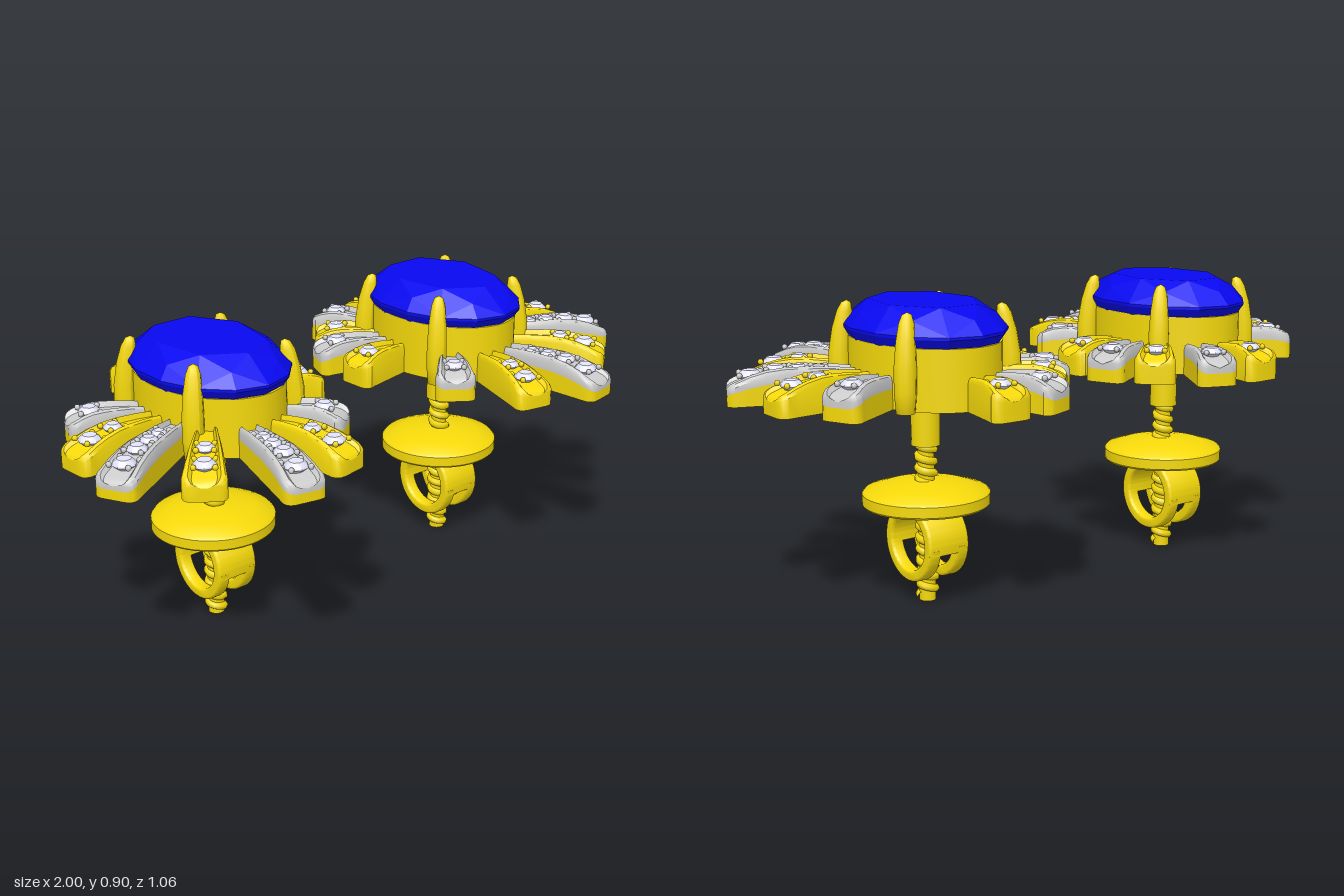
import * as THREE from 'three';
import { toCreasedNormals } from 'three/addons/utils/BufferGeometryUtils.js';
import { ConvexGeometry } from 'three/addons/geometries/ConvexGeometry.js';

const gold = new THREE.MeshStandardMaterial({ color: 0xf5d90a });
const silver = new THREE.MeshStandardMaterial({ color: 0xc4c4c4 });
const blue = new THREE.MeshStandardMaterial({ color: 0x0808f0 });
const clear = new THREE.MeshStandardMaterial({ color: 0xe4e4fa });
const V = (x, y, z) => new THREE.Vector3(x, y, z);

function add(parent, name, geo, mat, x = 0, y = 0, z = 0) {
  const m = new THREE.Mesh(geo, mat);
  m.name = name;
  m.position.set(x, y, z);
  parent.add(m);
  return m;
}
const lathe = (pts, n) => toCreasedNormals(
  new THREE.LatheGeometry(pts.map(p => new THREE.Vector2(p[0], p[1])), n), 0.6);

// Skin equal cross-sections that follow one another along +x, with end caps
function loft(rings) {
  const pos = [], n = rings[0].length;
  const tri = (...pts) => pts.forEach(p => pos.push(p.x, p.y, p.z));
  for (let i = 0; i + 1 < rings.length; i++) for (let j = 0; j < n; j++) {
    const k = (j + 1) % n, A = rings[i], B = rings[i + 1];
    tri(A[j], A[k], B[k]);
    tri(A[j], B[k], B[j]);
  }
  const mid = r => r.reduce((s, p) => s.add(p), V(0, 0, 0)).divideScalar(n);
  const first = rings[0], last = rings[rings.length - 1];
  for (let j = 0; j < n; j++) {
    const k = (j + 1) % n;
    tri(mid(first), first[k], first[j]);
    tri(mid(last), last[j], last[k]);
  }
  const g = new THREE.BufferGeometry();
  g.setAttribute('position', new THREE.Float32BufferAttribute(pos, 3));
  return toCreasedNormals(g, 0.6);
}

// Petal section: [half-width factor, height factor], a channel between two rims
const channel = foot => [[-1, foot], [-1, 0.82], [-0.9, 0.95], [-0.72, 1], [-0.56, 0.84],
  [0.56, 0.84], [0.72, 1], [0.9, 0.95], [1, 0.82], [1, foot]];
const foot = [[-1, 0], [-1, 0.6], [1, 0.6], [1, 0]];

const stoneGeo = lathe([[0, -0.8], [1, 0], [0.95, 0.15], [0.6, 0.5], [0, 0.5]], 8);
const beadGeo = new THREE.SphereGeometry(1, 7, 5);

function petal(tipX, tipZ, isSilver, stones) {
  const g = new THREE.Group();
  g.name = isSilver ? 'silverPetal' : 'goldPetal';
  const r1 = Math.hypot(tipX, tipZ);
  const r0 = 1 / Math.hypot(tipX / r1 / 0.185, tipZ / r1 / 0.255);
  const len = r1 - r0;
  const half = d => 0.065 - 0.036 * d / len;
  // The top arches down towards the tip, lower on the long petals
  const drop = stones > 1 ? 0.05 : 0.032, reach = stones > 1 ? 0.18 : 0.1;
  const height = d => 0.107 - drop * Math.max(0, 1 - d / reach) ** 2 - 0.012 * (d / len) ** 4;
  // Stations from the inner end to the rounded tip: [distance from tip, half-width, height]
  const st = [1, 0.8, 0.6, 0.45, 0.3, 0.18].map(t => [t * len, half(t * len), height(t * len)]);
  st.push([0.024, 0.063, height(0.024)], [0.01, 0.058, height(0.01)], [0.003, 0.05, height(0) - 0.003],
    [0, 0.036, height(0) - 0.008]);
  const build = prof => loft(st.map(([d, w, h]) => prof.map(([u, v]) => V(r1 - d, v * h, u * w))));
  if (isSilver) {
    add(g, 'petalFoot', build(foot), gold);
    add(g, 'petalTop', build(channel(0.6)), silver);
  } else add(g, 'petalBody', build(channel(0)), gold);
  // Row of stones, each held by four beads
  let d = 0.068;
  for (let i = 0; i < stones; i++) {
    const s = 0.61 * half(d), y = height(d) * 0.84 + 0.006;
    add(g, 'smallStone', stoneGeo, clear, r1 - d, y, 0).scale.setScalar(s);
    for (const a of [-1, 1]) for (const b of [-1, 1])
      add(g, 'bead', beadGeo, isSilver ? silver : gold, r1 - d + a * s * 0.85, y + 0.005, b * s * 0.85)
        .scale.setScalar(0.009);
    d += stones === 2 ? 0.08 : 0.072 - 0.007 * i;
  }
  g.position.y = 0.62;
  g.rotation.y = -Math.atan2(tipZ, tipX);
  return g;
}

// Tip x, tip z, silver?, number of stones
const petals = [[-0.01, -0.447, 0, 1], [0.167, -0.43, 1, 1], [0.3, -0.285, 0, 1], [0.4, -0.16, 1, 1],
  [0.395, 0.015, 0, 1], [0.25, 0.335, 1, 1], [0.1, 0.535, 0, 2], [-0.12, 0.606, 1, 4],
  [-0.33, 0.425, 0, 2], [-0.51, 0.255, 1, 4], [-0.497, 0.025, 0, 2], [-0.395, -0.16, 1, 1]];

// Faceted oval stone from rings: [scale, height, sides, turn in steps]
function gemGeometry() {
  const pts = [V(0, 0.67, 0)];
  for (const [s, y, n, turn] of [[0.5, 0.71, 8, 0.5], [0.93, 0.8, 14, 0], [1, 0.826, 14, 0], [1, 0.834, 14, 0],
    [0.86, 0.873, 7, 0.5], [0.68, 0.905, 7, 0]])
    for (let i = 0; i < n; i++) {
      const a = (i + turn) / n * Math.PI * 2;
      pts.push(V(0.218 * s * Math.sin(a), y, 0.29 * s * Math.cos(a)));
    }
  return new ConvexGeometry(pts);
}

function basketGeometry() {
  const s = new THREE.Shape().absellipse(0, 0, 0.2, 0.272, 0, Math.PI * 2);
  s.holes.push(new THREE.Path().absellipse(0, 0, 0.162, 0.232, 0, Math.PI * 2));
  const g = new THREE.ExtrudeGeometry(s, { depth: 0.18, bevelEnabled: false, curveSegments: 32 });
  return toCreasedNormals(g.rotateX(-Math.PI / 2), 0.5);
}

// Claw that bends in towards the stone at its top
function prongGeometry(sx, sz) {
  const g = new THREE.LatheGeometry([[0, 0.62], [0.027, 0.62], [0.032, 0.68], [0.032, 0.75], [0.028, 0.82],
    [0.022, 0.87], [0.014, 0.893], [0, 0.9]].map(p => new THREE.Vector2(...p)), 12);
  const p = g.attributes.position;
  for (let i = 0; i < p.count; i++) {
    const t = Math.max(0, (p.getY(i) - 0.7) / 0.2) ** 2;
    p.setX(i, p.getX(i) + sx * (0.183 - 0.02 * t));
    p.setZ(i, p.getZ(i) + sz * (0.173 - 0.016 * t));
  }
  g.computeVertexNormals();
  return g;
}

// Curved strip of the loop under the nut, its axis along x
function bandGeometry(from, to, width) {
  const s = new THREE.Shape();
  s.absarc(0, 0, 0.11, from, to, false);
  s.absarc(0, 0, 0.092, to, from, true);
  const b = 0.008;
  const g = new THREE.ExtrudeGeometry(s, { depth: width - 2 * b, bevelSize: b, bevelThickness: b,
    bevelSegments: 3, curveSegments: 24 });
  return toCreasedNormals(g.translate(0, 0, b - width / 2).rotateY(Math.PI / 2), 0.7);
}

class Helix extends THREE.Curve {
  getPoint(t, target = new THREE.Vector3()) {
    const a = t * 13 * Math.PI * 2;
    return target.set(0.023 * Math.cos(a), 0.014 + 0.46 * t, 0.023 * Math.sin(a));
  }
}

function earring(side) {
  const g = new THREE.Group();
  g.name = side > 0 ? 'leftEarring' : 'rightEarring';
  add(g, 'mainStone', gemGeometry(), blue);
  add(g, 'basket', basketGeometry(), gold, 0, 0.62, 0);
  for (const sx of [-1, 1]) for (const sz of [-1, 1]) add(g, 'prong', prongGeometry(sx, sz), gold);
  // Crossed bars that carry the post
  for (const s of [-1, 1])
    add(g, 'crossBar', new THREE.BoxGeometry(0.42, 0.04, 0.055), gold, 0, 0.641, 0).rotation.y = s * 0.8;
  for (const [x, z, isSilver, n] of petals) g.add(petal(-side * x, z, isSilver, n));

  // Post and screw
  add(g, 'post', new THREE.CylinderGeometry(0.043, 0.043, 0.17, 24), gold, 0, 0.56, 0);
  add(g, 'screwCore', new THREE.CylinderGeometry(0.025, 0.025, 0.48, 16), gold, 0, 0.24, 0);
  add(g, 'screwThread', new THREE.TubeGeometry(new Helix(), 234, 0.013, 6), gold);

  // Nut: domed disc with a slotted loop below
  add(g, 'nutDisc', lathe([[0.02, 0.295], [0.185, 0.295], [0.19, 0.301], [0.19, 0.332], [0.183, 0.34],
    [0.13, 0.356], [0.07, 0.366], [0.02, 0.37]], 40), gold);
  add(g, 'loopTop', bandGeometry(-0.12, Math.PI + 0.12, 0.14), gold, 0, 0.187, 0);
  for (const s of [-1, 1])
    add(g, 'loopSide', bandGeometry(Math.PI + 0.1, Math.PI * 2 - 0.1, 0.042), gold, s * 0.049, 0.187, 0);

  g.position.set(side * 0.471, 0, -0.083);
  return g;
}

export function createModel() {
  const model = new THREE.Group();
  model.name = 'earrings';
  model.add(earring(1), earring(-1));
  return model;
}
